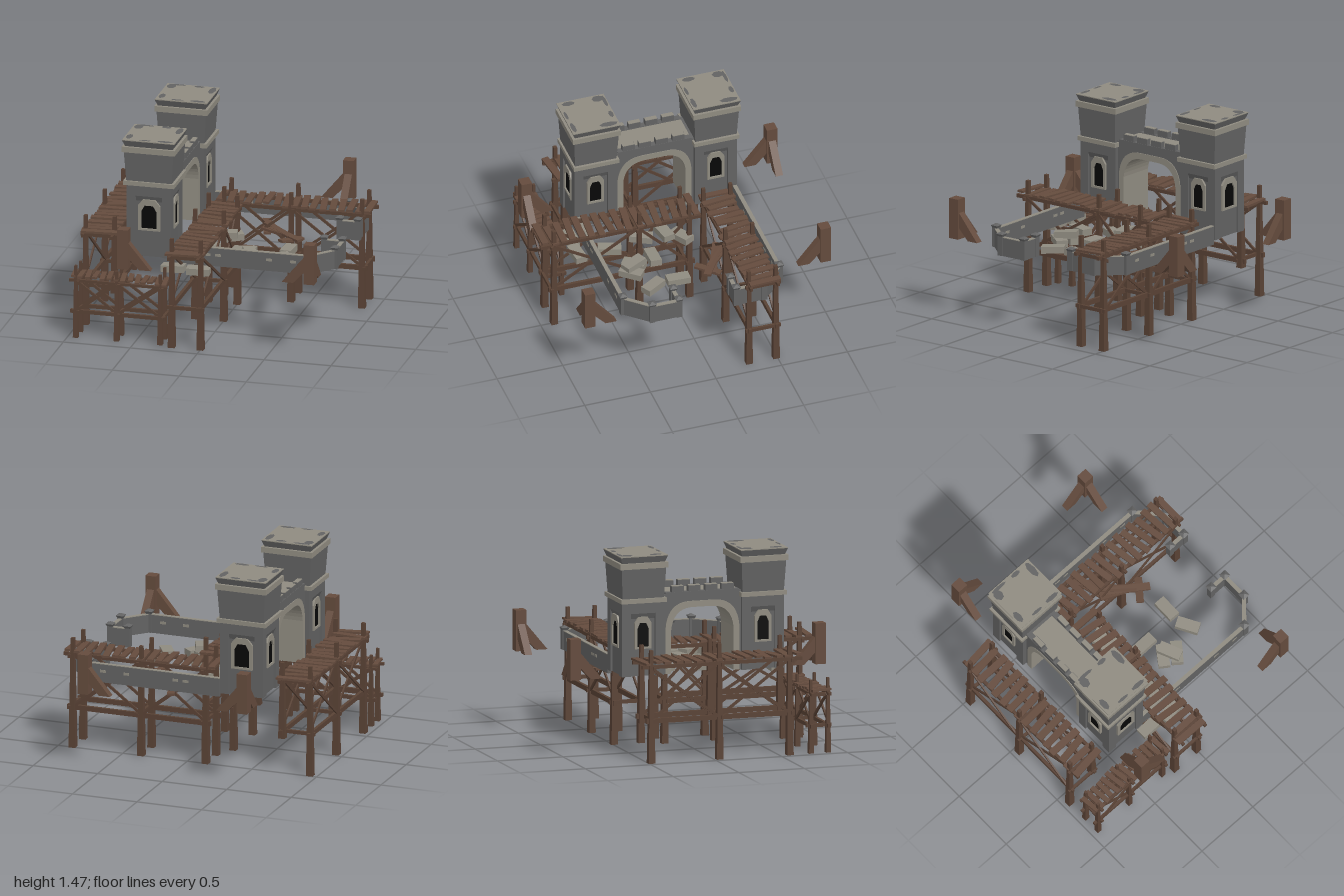
import * as THREE from 'three';

const paint = (name, color, opts = {}) => {
  const m = new THREE.MeshStandardMaterial({ color, ...opts });
  m.name = name;
  return m;
};

export function createModel() {
  const stone = paint('dark stone', 0x626262);
  const pale = paint('pale stone', 0x8f8b80);
  const wood = paint('plank wood', 0x644b3d);
  const timber = paint('post timber', 0x594235);
  const black = paint('window black', 0x070707);

  const model = new THREE.Group();
  model.name = 'ruinedGateFort';
  const V = (x, y, z) => new THREE.Vector3(x, y, z);

  // small seeded wobble for hand-built planks
  let seed = 7;
  const wobble = (a) => {
    seed = (seed * 16807) % 2147483647;
    return (seed / 2147483647 - 0.5) * 2 * a;
  };

  const group = (name, parent = model) => {
    const g = new THREE.Group();
    g.name = name;
    parent.add(g);
    return g;
  };
  const add = (parent, name, geo, mat, x = 0, y = 0, z = 0) => {
    const m = new THREE.Mesh(geo, mat);
    m.name = name;
    m.position.set(x, y, z);
    parent.add(m);
    return m;
  };
  const box = (parent, name, mat, w, h, d, x, y, z) =>
    add(parent, name, new THREE.BoxGeometry(w, h, d), mat, x, y, z);
  // square beam running from a to b
  const beam = (parent, name, mat, a, b, w, h) => {
    const m = box(parent, name, mat, w, h, a.distanceTo(b), 0, 0, 0);
    m.position.copy(a).lerp(b, 0.5);
    m.lookAt(b);
    return m;
  };
  // box whose top and bottom sizes differ, standing on y
  const flare = (parent, name, mat, wb, db, wt, dt, y0, y1, x = 0, z = 0) => {
    const g = new THREE.BoxGeometry(1, 1, 1);
    const p = g.attributes.position;
    for (let i = 0; i < p.count; i++) {
      const top = p.getY(i) > 0;
      p.setXYZ(i, p.getX(i) * (top ? wt : wb), top ? y1 : y0, p.getZ(i) * (top ? dt : db));
    }
    g.computeVertexNormals();
    return add(parent, name, g, mat, x, 0, z);
  };
  const polygon = (C, pts) => new C(pts.map((p) => new THREE.Vector2(...p)));
  const extrude = (shape, depth, curveSegments = 6) =>
    new THREE.ExtrudeGeometry(shape, { depth, bevelEnabled: false, curveSegments });

  // window with a pale clipped-corner frame
  const clipped = (w, y0, y1) => [[-w, y0], [w, y0], [w, y1 - 0.045], [w * 0.55, y1], [-w * 0.55, y1], [-w, y1 - 0.045]];
  const windowUnit = (parent, half, distance, angle) => {
    const g = group('window', parent);
    const frame = polygon(THREE.Shape, clipped(half, 0.78, 1.015));
    frame.holes.push(polygon(THREE.Path, clipped(half * 0.7, 0.795, 0.97)));
    add(g, 'windowFrame', extrude(frame, 0.018), pale, 0, 0, distance);
    add(g, 'windowOpening', new THREE.ShapeGeometry(polygon(THREE.Shape, clipped(half * 0.71, 0.79, 0.975))), black, 0, 0, distance + 0.006);
    g.rotation.y = angle;
  };

  // towers
  for (const [z, outward] of [[0.485, 0], [-0.43, Math.PI]]) {
    const t = group('tower');
    t.position.set(-0.455, 0, z);
    box(t, 'towerCore', stone, 0.3, 0.5, 0.29, 0, 0.83, 0);
    for (const sx of [-1, 1]) for (const sz of [-1, 1])
      box(t, 'cornerPilaster', stone, 0.068, 0.46, 0.068, sx * 0.133, 0.81, sz * 0.126);
    flare(t, 'towerShoulder', stone, 0.3, 0.29, 0.334, 0.32, 1.0, 1.04);
    box(t, 'towerNeck', stone, 0.334, 0.09, 0.32, 0, 1.085, 0);
    box(t, 'lowerBand', pale, 0.38, 0.032, 0.345, 0, 1.135, 0);
    flare(t, 'upperTower', stone, 0.34, 0.315, 0.37, 0.34, 1.15, 1.375);
    box(t, 'upperBand', pale, 0.395, 0.042, 0.365, 0, 1.393, 0);
    flare(t, 'towerCrown', stone, 0.355, 0.325, 0.39, 0.36, 1.414, 1.46);
    box(t, 'towerRoof', pale, 0.39, 0.006, 0.36, 0, 1.463, 0);
    // worn patches on the roof
    for (const [px, pz, w, d] of [[-0.15, -0.12, 0.035, 0.045], [-0.11, -0.16, 0.07, 0.014], [0.16, -0.1, 0.026, 0.07],
      [0.12, 0.155, 0.06, 0.018], [-0.16, 0.1, 0.025, 0.05], [-0.03, 0.16, 0.05, 0.012], [0.05, -0.155, 0.04, 0.018]]) {
      const p = add(t, 'roofPatch', new THREE.CircleGeometry(1, 7), stone, px, 1.468, pz);
      p.rotation.x = -Math.PI / 2;
      p.scale.set(w, d, 1);
    }
    windowUnit(t, 0.082, 0.144, outward);
    windowUnit(t, 0.064, 0.149, Math.PI / 2);
    windowUnit(t, 0.064, 0.149, -Math.PI / 2);
  }

  // arched gate between the towers, drawn in the z-y plane
  const archLine = (path, z0, z1, top, r) => {
    path.moveTo(z0, 0.58);
    path.lineTo(z0, top - r);
    path.quadraticCurveTo(z0 + r * 0.1, top, z0 + r, top);
    path.lineTo(z1 - r, top);
    path.quadraticCurveTo(z1 - r * 0.1, top, z1, top - r);
    path.lineTo(z1, 0.58);
    return path;
  };
  const gate = group('gateArch');
  gate.rotation.y = -Math.PI / 2;
  const rim = archLine(new THREE.Shape(), -0.25, 0.312, 1.105, 0.19);
  const spandrel = archLine(new THREE.Shape(), -0.248, 0.31, 1.102, 0.19);
  for (const s of [rim]) {
    // inner edge walked back to close the band
    s.lineTo(0.268, 0.58);
    s.lineTo(0.268, 0.9);
    s.quadraticCurveTo(0.25, 1.06, 0.1, 1.06);
    s.lineTo(-0.04, 1.06);
    s.quadraticCurveTo(-0.19, 1.06, -0.207, 0.9);
    s.lineTo(-0.207, 0.58);
  }
  spandrel.lineTo(0.34, 0.58);
  spandrel.lineTo(0.34, 1.165);
  spandrel.lineTo(-0.28, 1.165);
  spandrel.lineTo(-0.28, 0.58);
  add(gate, 'archRim', extrude(rim, 0.285, 10), pale, 0, 0, 0.31);
  add(gate, 'archWall', extrude(spandrel, 0.275, 10), stone, 0, 0, 0.315);
  box(model, 'gateWalk', pale, 0.275, 0.006, 0.56, -0.4525, 1.168, 0.03);
  for (const x of [-0.572, -0.333]) {
    box(model, 'parapetLedge', stone, 0.045, 0.012, 0.56, x, 1.17, 0.03);
    for (const z of [0.225, 0.1, -0.028, -0.155]) {
      box(model, 'merlon', stone, 0.04, 0.045, 0.092, x, 1.195, z);
      box(model, 'merlonCap', pale, 0.036, 0.004, 0.088, x, 1.219, z);
    }
  }

  // low curtain walls with capped pillars
  const walls = group('curtainWalls');
  for (const path of [
    [[-0.28, 0.62], [0.73, 0.62], [0.885, 0.45], [0.885, 0.245], [0.75, 0.245]],
    [[-0.28, -0.57], [0.73, -0.57], [0.885, -0.4], [0.885, -0.19], [0.75, -0.19]]]) {
    path.forEach(([x, z], i) => {
      if (i === 0) return;
      const [px, pz] = path[i - 1];
      beam(walls, 'wall', stone, V(px, 0.618, pz), V(x, 0.618, z), 0.03, 0.136);
      beam(walls, 'wallCoping', pale, V(px, 0.688, pz), V(x, 0.688, z), 0.03, 0.005);
      box(walls, 'pillar', stone, 0.042, 0.15, 0.042, x, 0.625, z);
      flare(walls, 'pillarCap', stone, 0.042, 0.042, 0.058, 0.058, 0.695, 0.712, x, z);
      flare(walls, 'pillarTip', stone, 0.058, 0.058, 0.008, 0.008, 0.712, 0.726, x, z);
    });
    for (const x of [-0.02, 0.06, 0.44, 0.62])
      box(walls, 'wornPatch', pale, 0.045, 0.02, 0.034, x, 0.635, path[0][1]);
  }

  // corner buttresses: post plus two raking struts
  const strut = polygon(THREE.Shape, [[0.03, 0.795], [0.03, 0.68], [0.12, 0.585], [0.205, 0.585]]);
  for (const [x, z, ax, az] of [[-0.565, 0.93, 1, -1], [0.82, 0.91, -1, -1], [-0.615, -0.955, 1, 1], [0.62, -0.95, -1, 1]]) {
    const b = group('cornerButtress');
    b.position.set(x, 0, z);
    box(b, 'buttressPost', wood, 0.08, 0.3, 0.08, 0, 0.735, 0);
    const geo = extrude(strut, 0.055).translate(0, 0, -0.0275);
    add(b, 'buttressStrut', geo, wood).rotation.y = ax > 0 ? 0 : Math.PI;
    add(b, 'buttressStrut', geo, wood).rotation.y = az > 0 ? -Math.PI / 2 : Math.PI / 2;
  }

  // timber walkway: posts, stringers, ties, cross braces and loose planks
  const walkway = (name, o) => {
    const g = group(name);
    const P = (t, y, s) => (o.along === 'x' ? V(t, y, s) : V(s, y, t));
    const [s0, s1] = o.sides;
    const k = o.scale || 1;
    const first = o.posts[0], last = o.posts[o.posts.length - 1];
    o.sides.forEach((s, side) => {
      const base = o.bases ? o.bases[side] : 0;
      for (const t of o.posts) {
        const p = P(t, 0, s);
        flare(g, 'post', timber, 0.05 * k, 0.05 * k, 0.026 * k, 0.026 * k, base, o.top + wobble(0.012), p.x, p.z);
      }
      beam(g, 'stringer', timber, P(o.start, o.y - 0.025, s), P(o.end, o.y - 0.025, s), 0.022, 0.026 * k);
      beam(g, 'lowerRail', timber, P(first - 0.04, o.low, s), P(last + 0.04, o.low, s), 0.022, 0.036 * k);
      for (let i = 1; i < o.posts.length; i++) {
        const a = o.posts[i - 1], b = o.posts[i];
        beam(g, 'crossBrace', timber, P(a, o.low, s + 0.01), P(b, o.y - 0.03, s + 0.01), 0.012, 0.02);
        beam(g, 'crossBrace', timber, P(a, o.y - 0.03, s - 0.01), P(b, o.low, s - 0.01), 0.012, 0.02);
      }
    });
    for (const t of o.posts) for (const y of [o.low, o.y - 0.035])
      beam(g, 'crossTie', timber, P(t + 0.02, y, s0 - 0.03), P(t + 0.02, y, s1 + 0.03), 0.02, 0.026);
    const step = (o.end - o.start) / o.planks;
    for (let i = 0; i < o.planks; i++) {
      const c = P(o.start + step * (i + 0.5), o.y + wobble(0.006), (s0 + s1) / 2 + wobble(0.012));
      const len = o.width + wobble(0.02), w = step * 0.68;
      const plank = box(g, 'plank', wood, o.along === 'x' ? w : len, 0.016, o.along === 'x' ? len : w, c.x, c.y, c.z);
      plank.rotation.set(wobble(0.04), (o.skew || 0) + wobble(0.09), wobble(0.04));
    }
  };
  walkway('outerWalkway', { along: 'z', start: -0.55, end: 0.67, sides: [-0.945, -0.73], bases: [0, 0.26], y: 0.73,
    top: 0.84, low: 0.31, posts: [-0.48, 0.04, 0.575], planks: 16, width: 0.25, skew: 0.08 });
  walkway('innerWalkway', { along: 'z', start: -0.22, end: 1.0, sides: [-0.215, 0.0], y: 0.73,
    top: 0.84, low: 0.31, posts: [-0.13, 0.25, 0.9], planks: 17, width: 0.245, skew: -0.06 });
  walkway('backWalkway', { along: 'x', start: -0.21, end: 0.96, sides: [-0.49, -0.285], y: 0.73,
    top: 0.84, low: 0.305, posts: [-0.14, 0.36, 0.89], planks: 17, width: 0.24, skew: 0.1 });
  walkway('lowWalkway', { along: 'x', start: -0.99, end: -0.26, sides: [0.74, 0.87], y: 0.46,
    top: 0.54, low: 0.2, posts: [-0.94, -0.635, -0.31], planks: 14, width: 0.16, skew: 0.08, scale: 0.75 });

  // collapsed planks inside the yard
  for (const [x, z, a] of [[0.27, -0.27, -0.75], [0.34, -0.2, -0.6], [0.2, -0.36, -1.0], [0.15, -0.4, -1.3], [0.4, -0.14, 0.9], [0.3, -0.22, -0.4]]) {
    const p = box(model, 'fallenPlank', wood, 0.33, 0.018, 0.055, x, 0.53 + wobble(0.02), z);
    p.rotation.set(wobble(0.12), a, wobble(0.1));
    if (x === 0.4) p.scale.x = 0.6;
  }

  // fallen masonry blocks
  for (const [x, z, a, y] of [[0.14, 0.195, 0, 0.53], [0.445, 0.105, 1.55, 0.53], [0.47, 0.3, -1.05, 0.53], [0.18, 0.35, 0.95, 0.53],
    [0.27, 0.4, 0.9, 0.53], [0.23, 0.37, -1.15, 0.575], [-0.04, 0.05, 0.2, 0.59], [-0.11, 0.2, 1.2, 0.53],
    [-0.03, -0.08, 0.5, 0.53], [-0.26, 0.685, 0, 0.53], [-0.07, 0.7, 0.1, 0.53], [-0.05, 0.46, 1.3, 0.53]]) {
    const b = box(model, 'fallenBlock', pale, 0.17, 0.05, 0.085, x, y, z);
    b.rotation.set(wobble(0.05), a, wobble(0.06));
  }

  return model;
}
